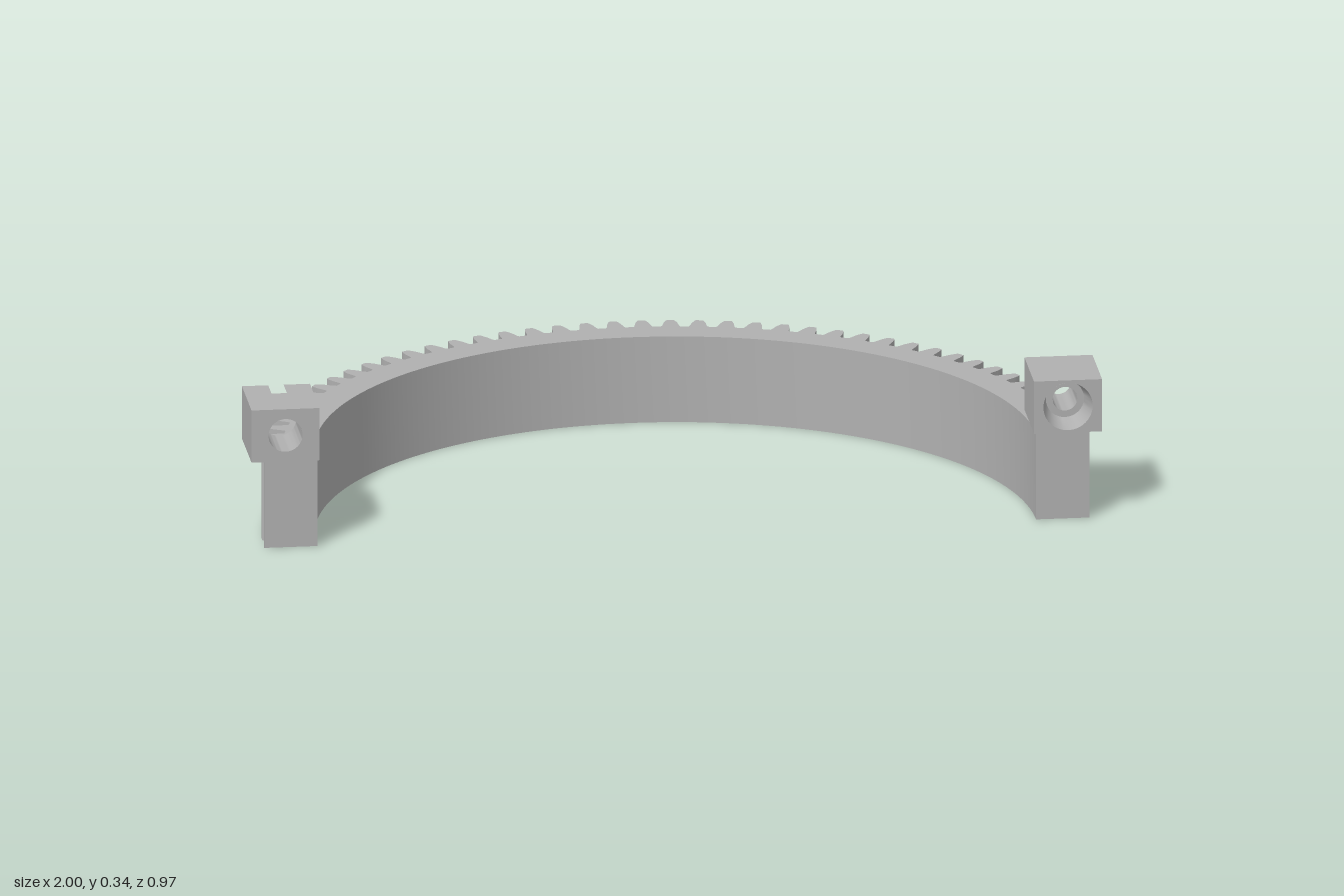
import * as THREE from 'three';
import { toCreasedNormals } from 'three/addons/utils/BufferGeometryUtils.js';

const CZ = 0.485;                 // ring axis and cut ends lie on this z
const RING_H = 0.21, BLOCK_H = 0.128, BLOCK_W = 0.16, BLOCK_BACK = 0.298;
const BLOCK_X = 0.92, BLOCK_Y = RING_H + BLOCK_H / 2;

export function createModel() {
  const grey = new THREE.MeshStandardMaterial({ color: 0xb0b0b0 });
  grey.name = 'grey';
  const model = new THREE.Group();
  model.name = 'halfRingGear';

  function add(geometry, name, parent = model) {
    const mesh = new THREE.Mesh(toCreasedNormals(geometry, 0.45), grey);
    mesh.name = name;
    parent.add(mesh);
    return mesh;
  }
  // Extrude a front-facing outline from z0 to z1
  function slab(shape, z0, z1) {
    const g = new THREE.ExtrudeGeometry(shape, { depth: z1 - z0, bevelEnabled: false, curveSegments: 32 });
    return g.translate(0, 0, z0);
  }
  function blockOutline(holeRadius) {
    const w = BLOCK_W / 2, h = BLOCK_H / 2;
    const s = new THREE.Shape([[-w, -h], [w, -h], [w, h], [-w, h]].map(p => new THREE.Vector2(...p)));
    s.holes.push(new THREE.Path().absarc(0, 0, holeRadius, 0, Math.PI * 2, true));
    return s;
  }

  // Toothed half ring: half a tooth at each cut end, 4 degree pitch
  const pitch = Math.PI / 45;
  const tooth = [ // [angle from tooth centre, radius]
    [-0.0245, 0.922], [-0.0215, 0.928], [-0.0172, 0.949], [-0.0115, 0.965], [-0.0085, 0.97],
    [0.0085, 0.97], [0.0115, 0.965], [0.0172, 0.949], [0.0215, 0.928], [0.0245, 0.922],
  ];
  const polar = (a, r) => new THREE.Vector2(Math.cos(a) * r, Math.sin(a) * r - CZ);
  const outline = [polar(0, 0.97)];
  for (let k = 0; k <= 45; k++) {
    for (const [da, r] of tooth) {
      const a = k * pitch + da;
      if (a > 0 && a < Math.PI) outline.push(polar(a, r));
    }
  }
  outline.push(polar(Math.PI, 0.97));
  for (let i = 0; i <= 90; i++) outline.push(polar(Math.PI * (1 - i / 90), 0.845));
  const ring = new THREE.ExtrudeGeometry(new THREE.Shape(outline), { depth: RING_H, bevelEnabled: false });
  add(ring.rotateX(-Math.PI / 2), 'toothedRing');

  // Left lug: through hole with a conical seat at the front
  const left = new THREE.Group();
  left.name = 'leftLug';
  left.position.set(BLOCK_X, BLOCK_Y, 0);
  model.add(left);
  add(slab(blockOutline(0.058), BLOCK_BACK, CZ), 'leftLugBlock', left);
  const seat = new THREE.LatheGeometry([
    [0.058, BLOCK_BACK], [0.029, BLOCK_BACK], [0.029, 0.425], [0.045, 0.425], [0.058, CZ],
  ].reverse().map(p => new THREE.Vector2(...p)), 32);
  const seatMesh = add(seat.rotateX(Math.PI / 2), 'screwSeat', left);
  seatMesh.material = grey;
  grey.side = THREE.DoubleSide;

  // Right lug: through hole, with a round pocket at the back that breaks the top and bottom
  const right = new THREE.Group();
  right.name = 'rightLug';
  right.position.set(-BLOCK_X, BLOCK_Y, 0);
  model.add(right);
  const pocketZ = 0.362, pocketR = 0.0665;
  add(slab(blockOutline(0.04), pocketZ, CZ), 'rightLugBlock', right);
  const a = Math.asin(BLOCK_H / 2 / pocketR);
  for (const side of [0, 1]) {
    const cheek = new THREE.Shape();
    cheek.moveTo(BLOCK_W / 2, -BLOCK_H / 2);
    cheek.lineTo(BLOCK_W / 2, BLOCK_H / 2);
    cheek.lineTo(Math.cos(a) * pocketR, BLOCK_H / 2);
    cheek.absarc(0, 0, pocketR, a, -a, true);
    const g = slab(cheek, BLOCK_BACK, pocketZ);
    // half turn about z gives the opposite cheek
    add(g.rotateZ(side * Math.PI), side ? 'pocketCheekOuter' : 'pocketCheekInner', right);
  }
  return model;
}
